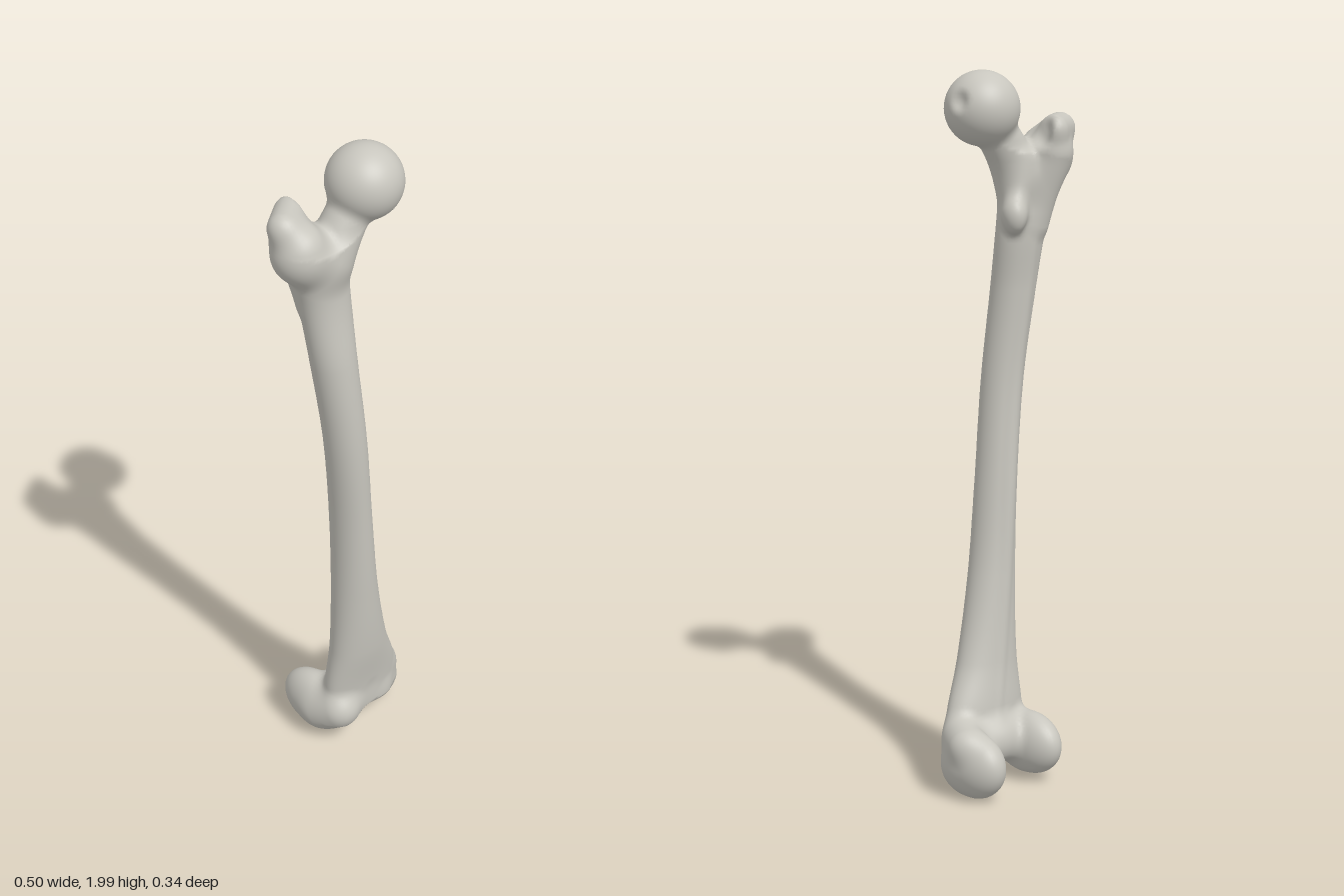
import * as THREE from 'three';

const bone = new THREE.MeshStandardMaterial({ name: 'bone grey', color: 0xc8c6be });

// ---- Solid shapes as distance rules: negative inside, positive outside ----
const blend = (a, b, k) => {
  const h = Math.max(k - Math.abs(a - b), 0) / k;
  return Math.min(a, b) - h * h * k / 4;
};

const ellipsoid = (x, y, z, rx, ry, rz) => (p) => {
  const a = (p[0] - x) / rx, b = (p[1] - y) / ry, c = (p[2] - z) / rz;
  const k0 = Math.hypot(a, b, c), k1 = Math.hypot(a / rx, b / ry, c / rz) + 1e-6;
  return k0 * (k0 - 1) / k1;
};

// Rounded bar from a to b whose radius runs from ra to rb
const bar = (a, ra, b, rb) => {
  const d = b.map((v, i) => v - a[i]);
  const dd = d[0] ** 2 + d[1] ** 2 + d[2] ** 2;
  return (p) => {
    const q = p.map((v, i) => v - a[i]);
    const t = Math.min(1, Math.max(0, (q[0] * d[0] + q[1] * d[1] + q[2] * d[2]) / dd));
    return Math.hypot(q[0] - d[0] * t, q[1] - d[1] * t, q[2] - d[2] * t) - ra - (rb - ra) * t;
  };
};

// Upright loft through elliptical rings [y, x, z, rx, rz], with a low ridge along its back
const loft = (rings) => {
  const ys = rings.map((r) => r[0]), lo = ys[0], hi = ys[ys.length - 1];
  const spline = new THREE.CubicInterpolant(ys, rings.flatMap((r) => r.slice(1)), 4);
  return (p) => {
    const y = Math.min(hi - 1e-4, Math.max(lo + 1e-4, p[1]));
    const [x, z, rx, rz] = spline.evaluate(y);
    const a = (p[0] - x) / rx, c = (p[2] - z) / rz;
    const k0 = Math.hypot(a, c), k1 = Math.hypot(a / rx, c / rz) + 1e-6;
    const swell = Math.sin(Math.PI * (y - lo) / (hi - lo));
    const ridge = Math.hypot(p[0] - x, p[2] - z + rz - 0.01) - 0.015 * swell;
    return Math.max(blend(k0 * (k0 - 1) / k1, ridge, 0.02), lo - p[1], p[1] - hi);
  };
};

// ---- Parts of the bone, each with its blending width ----
const parts = [];
const addPart = (name, k, ...shapes) => parts.push({ name, k, shapes });

addPart('shaft', 0.03, loft([
  [0.12, 0.062, 0.03, 0.13, 0.057],
  [0.2, 0.06, 0.03, 0.135, 0.063],
  [0.36, 0.03, 0.05, 0.098, 0.066],
  [0.6, -0.003, 0.065, 0.068, 0.065],
  [0.85, -0.028, 0.074, 0.057, 0.063],
  [1.15, -0.06, 0.08, 0.058, 0.061],
  [1.4, -0.085, 0.063, 0.065, 0.062],
  [1.6, -0.097, 0.04, 0.078, 0.06],
  [1.75, -0.125, 0.045, 0.09, 0.055],
]));
addPart('neck', 0.06, bar([0.03, 1.9, 0.065], 0.056, [-0.09, 1.72, 0.045], 0.062));
addPart('greaterTrochanter', 0.035,
  ellipsoid(-0.178, 1.76, 0.03, 0.074, 0.085, 0.075),
  bar([-0.207, 1.835, 0.005], 0.042, [-0.14, 1.835, -0.038], 0.042),
  bar([-0.15, 1.77, -0.025], 0.052, [-0.12, 1.58, 0.01], 0.03));
addPart('lesserTrochanter', 0.035,
  ellipsoid(-0.02, 1.605, -0.01, 0.029, 0.045, 0.033),
  bar([-0.03, 1.62, 0], 0.022, [-0.07, 1.75, 0.01], 0.02));
addPart('head', 0.016, ellipsoid(0.028, 1.897, 0.066, 0.103, 0.103, 0.104));
addPart('innerCondyle', 0.035,
  ellipsoid(0.182, 0.106, -0.06, 0.066, 0.094, 0.109),
  bar([0.205, 0.165, -0.05], 0.045, [0.17, 0.17, 0], 0.05),
  bar([0.115, 0.12, 0.035], 0.045, [0.17, 0.09, -0.02], 0.06));
addPart('outerCondyle', 0.035,
  ellipsoid(-0.042, 0.118, -0.05, 0.062, 0.09, 0.113),
  bar([-0.04, 0.135, 0.045], 0.056, [-0.045, 0.105, -0.02], 0.058));
addPart('kneeBridge', 0.03, ellipsoid(0.06, 0.14, 0, 0.11, 0.075, 0.075));

// Hollows: notch between the condyles, kneecap groove, head pit, trochanter hollow
const hollows = [
  bar([0.066, 0.05, -0.19], 0.055, [0.055, 0.02, 0.02], 0.038),
  bar([0.045, 0.03, 0.135], 0.035, [0.045, 0.19, 0.14], 0.035),
  ellipsoid(0.133, 1.925, 0.05, 0.018, 0.02, 0.018),
  ellipsoid(-0.1, 1.85, -0.03, 0.025, 0.05, 0.03),
];

function field(p) {
  let d = 1;
  for (const { shapes, k } of parts) for (const f of shapes) d = blend(d, f(p), k);
  for (const f of hollows) d = -blend(-d, f(p), 0.025);
  return d;
}

const nearestPart = (p) => {
  const dist = parts.map(({ shapes }) => Math.min(...shapes.map((f) => f(p))));
  return dist.indexOf(Math.min(...dist));
};

// ---- Skin the blended solid with a net of quads ----
function skin() {
  const step = 0.01, origin = [-0.285, -0.025, -0.205], size = [58, 206, 42];
  const stride = [1, size[0], size[0] * size[1]];
  const at = (cell) => cell.map((v, n) => origin[n] + v * step);
  const eachCell = (from, to, fn) => {
    for (let k = from; k < size[2] - to; k++)
      for (let j = from; j < size[1] - to; j++)
        for (let i = from; i < size[0] - to; i++) fn([i, j, k], i + j * stride[1] + k * stride[2]);
  };
  const values = new Float32Array(size[0] * size[1] * size[2]);
  eachCell(0, 0, (cell, n) => { values[n] = field(at(cell)); });

  // One point per cell crossed by the surface, at the mean of its edge crossings
  const positions = [], normals = [], owner = [], pointOf = new Map();
  eachCell(0, 1, (cell, n) => {
    const sum = [0, 0, 0];
    let count = 0;
    for (let c = 0; c < 8; c++) for (let a = 0; a < 3; a++) {
      if (c >> a & 1) continue;
      const o = [c & 1, c >> 1 & 1, c >> 2 & 1];
      const m = n + o[0] + o[1] * stride[1] + o[2] * stride[2];
      const v0 = values[m], v1 = values[m + stride[a]];
      if ((v0 < 0) === (v1 < 0)) continue;
      o[a] += v0 / (v0 - v1);
      o.forEach((v, i) => { sum[i] += v; });
      count++;
    }
    if (!count) return;
    const p = at(cell.map((v, i) => v + sum[i] / count));
    const slope = p.map((_, a) => {
      const hi = [...p], lo = [...p];
      hi[a] += 0.003;
      lo[a] -= 0.003;
      return field(hi) - field(lo);
    });
    pointOf.set(n, owner.length);
    owner.push(nearestPart(p));
    positions.push(...p);
    normals.push(...new THREE.Vector3(...slope).normalize().toArray());
  });

  // One quad per crossed grid edge, given to the part it belongs to
  const faces = parts.map(() => []);
  eachCell(1, 1, (cell, n) => {
    for (let a = 0; a < 3; a++) {
      const inside = values[n] < 0;
      if (inside === (values[n + stride[a]] < 0)) continue;
      const b = stride[(a + 1) % 3], c = stride[(a + 2) % 3];
      const q = [n, n - b, n - b - c, n - c].map((m) => pointOf.get(m));
      if (!inside) q.reverse();
      faces[owner[q[0]]].push(q[0], q[1], q[2], q[0], q[2], q[3]);
    }
  });
  return { positions, normals, faces };
}

export function createModel() {
  const group = new THREE.Group();
  group.name = 'thighBone';
  const { positions, normals, faces } = skin();
  parts.forEach(({ name }, i) => {
    if (!faces[i].length) return;
    const shared = new THREE.BufferGeometry();
    shared.setAttribute('position', new THREE.Float32BufferAttribute(positions, 3));
    shared.setAttribute('normal', new THREE.Float32BufferAttribute(normals, 3));
    shared.setIndex(faces[i]);
    const mesh = new THREE.Mesh(shared.toNonIndexed(), bone);
    mesh.name = name;
    group.add(mesh);
  });
  return group;
}
